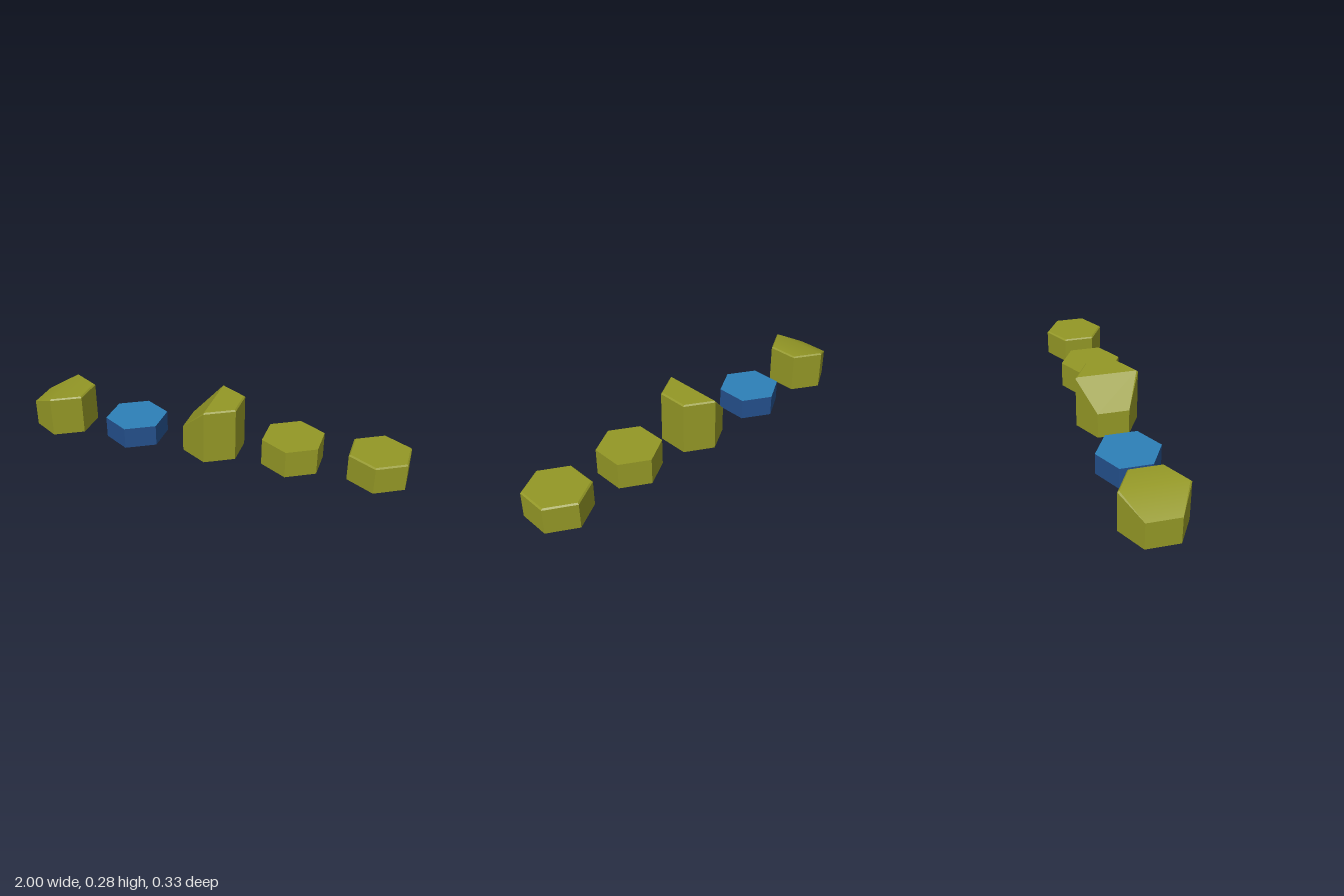
import * as THREE from 'three';
import { toCreasedNormals } from 'three/addons/utils/BufferGeometryUtils.js';

const R = 0.164;                   // hexagon corner radius, corners point along z
const W = R * Math.sqrt(3) / 2;    // half width across the flats
const BEVEL = 0.007;

const material = (name, color) => {
  const m = new THREE.MeshStandardMaterial({ color });
  m.name = name;
  return m;
};

// Hexagon ring, counter-clockwise from above; heightAt and insetAt depend on the corner's x.
function hexRing(heightAt, insetAt) {
  return Array.from({ length: 6 }, (_, i) => {
    const a = i * Math.PI / 3;
    const x = Math.sin(a), z = Math.cos(a);
    const side = i === 4 || i === 5 ? -1 : 1;   // -1 for the two corners at -x
    const r = R - insetAt(side) * 2 / Math.sqrt(3);
    return [x * r, heightAt(side), z * r];
  });
}

// Solid hexagon with a bevelled top; the -x half slopes down when low < high.
function slopedHex(high, low, crease) {
  const sloped = low < high;
  const isLow = side => sloped && side < 0;
  const base = hexRing(() => 0, () => 0);
  const shoulder = hexRing(s => (isLow(s) ? low : high - BEVEL), () => 0);
  const top = hexRing(s => (isLow(s) ? low : high), s => (isLow(s) ? 0 : BEVEL));
  const pos = [];
  const same = (a, b) => a.every((v, i) => Math.abs(v - b[i]) < 1e-6);
  const tri = (a, b, c) => {
    if (!same(a, b) && !same(b, c) && !same(a, c)) pos.push(...a, ...b, ...c);
  };
  const fan = ring => {
    for (let i = 1; i < ring.length - 1; i++) tri(ring[0], ring[i], ring[i + 1]);
  };
  for (let i = 0; i < 6; i++) {
    const j = (i + 1) % 6;
    fan([base[i], base[j], shoulder[j], shoulder[i]]);   // wall
    fan([shoulder[i], shoulder[j], top[j], top[i]]);     // bevel
  }
  fan(top.slice(0, 4));                        // flat half
  fan([top[0], top[3], top[4], top[5]]);       // sloped half
  fan([...base].reverse());                    // underside
  const geo = new THREE.BufferGeometry();
  geo.setAttribute('position', new THREE.Float32BufferAttribute(pos, 3));
  return toCreasedNormals(geo, crease);
}

// Plain hexagonal prism standing on y = 0.
function plainHex(height) {
  const geo = new THREE.CylinderGeometry(R, R, height, 6).translate(0, height / 2, 0);
  return toCreasedNormals(geo, 0.2);
}

export function createModel() {
  const grass = material('olive', 0x949826);
  const waterTop = material('water blue', 0x2d80b8);
  const waterSide = material('deep blue', 0x24508c);

  const group = new THREE.Group();
  group.name = 'hexTiles';
  const add = (name, geo, mat, x, y, z) => {
    const mesh = new THREE.Mesh(geo, mat);
    mesh.name = name;
    mesh.position.set(x, y, z);
    group.add(mesh);
  };

  add('gentleSlopeTile', slopedHex(0.213, 0.14, 0.5), grass, -0.858, 0, -0.002);
  add('waterTile', plainHex(0.113), [waterSide, waterTop, waterSide], -0.436, 0, -0.002);
  add('steepSlopeTile', slopedHex(0.285, 0.14, 0.2), grass, 0, 0, -0.002);
  add('plainTile', plainHex(0.142), grass, 0.424, 0.004, 0.004);
  add('bevelledTile', slopedHex(0.142, 0.142, 0.2), grass, 0.858, 0, -0.002);
  return group;
}
